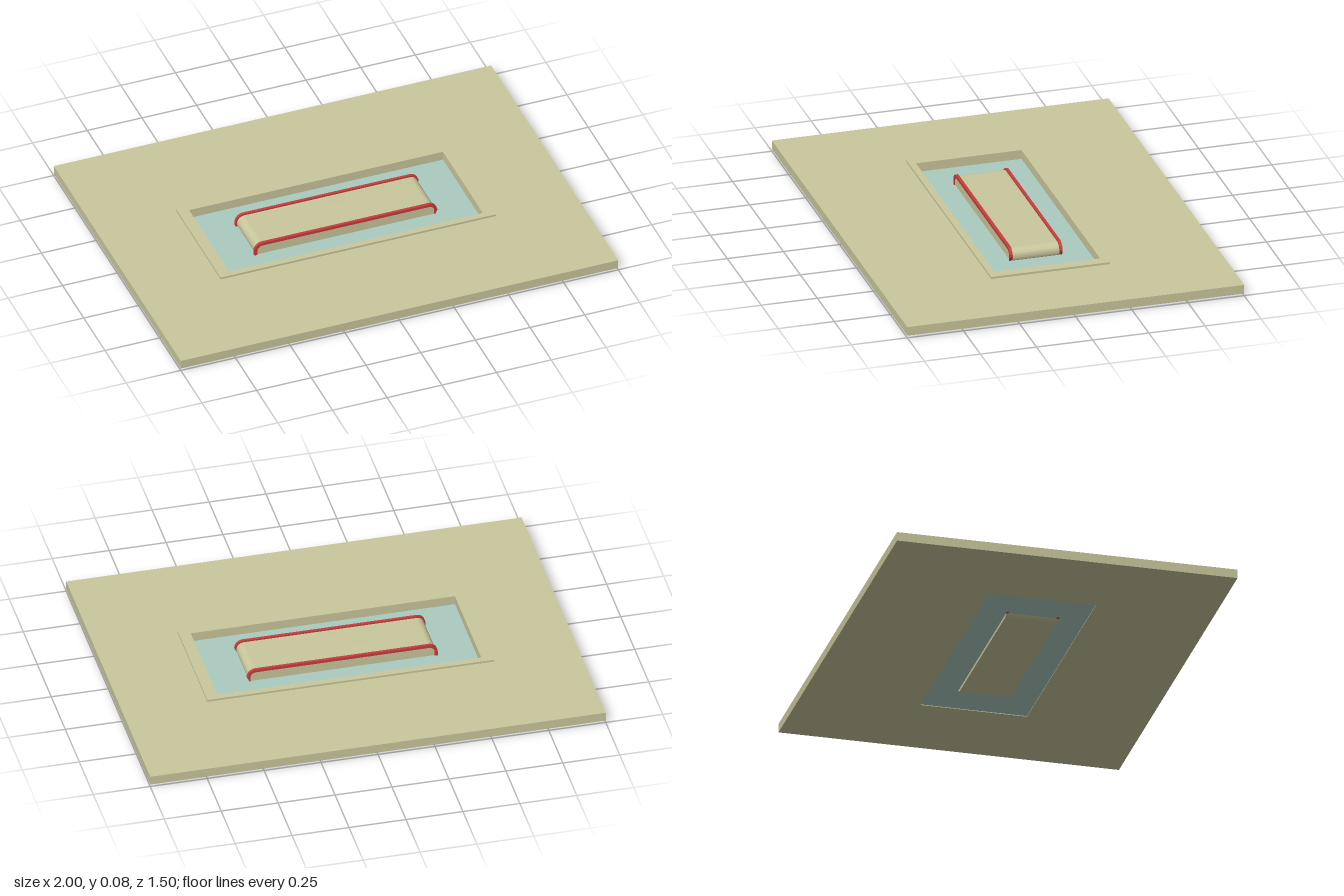
import * as THREE from 'three';
import { toCreasedNormals } from 'three/addons/utils/BufferGeometryUtils.js';

const SAND = new THREE.MeshStandardMaterial({ color: 0xc9c79c });
const AQUA = new THREE.MeshStandardMaterial({ color: 0xaacbbf });
const RED = new THREE.MeshStandardMaterial({ color: 0xc83c3c });

// Axis-aligned rectangle, as a shape or as a hole
function rect(w, d, Type = THREE.Shape) {
  const p = new Type();
  p.moveTo(-w, -d);
  p.lineTo(w, -d);
  p.lineTo(w, d);
  p.lineTo(-w, d);
  p.closePath();
  return p;
}

// Flat slab with a rectangular opening, lying between two heights
function slab(name, outer, inner, y0, y1, material) {
  const shape = rect(...outer);
  shape.holes.push(rect(...inner, THREE.Path));
  const geo = new THREE.ExtrudeGeometry(shape, { depth: y1 - y0, bevelEnabled: false });
  geo.rotateX(-Math.PI / 2).translate(0, y0, 0);
  const mesh = new THREE.Mesh(geo, material);
  mesh.name = name;
  return mesh;
}

// Side profile extruded along z, centred on the given z
function profile(name, shape, depth, z, material) {
  const geo = new THREE.ExtrudeGeometry(shape, { depth, bevelEnabled: false, curveSegments: 10 });
  geo.translate(0, 0, z - depth / 2);
  const mesh = new THREE.Mesh(toCreasedNormals(geo, 0.5), material);
  mesh.name = name;
  return mesh;
}

export function createModel() {
  const group = new THREE.Group();

  // Base plate, raised frame and recessed panel
  group.add(slab('basePlate', [1, 0.75], [0.58, 0.235], 0.01, 0.05, SAND));
  group.add(slab('raisedFrame', [0.63, 0.265], [0.58, 0.235], 0.05, 0.059, SAND));
  group.add(slab('recessedPanel', [0.58, 0.235], [0.4, 0.105], 0.013, 0.018, AQUA));

  // Central block with rounded ends
  const w = 0.412, top = 0.068, r = 0.033;
  const block = new THREE.Shape();
  block.moveTo(-w + r, 0);
  block.lineTo(w - r, 0);
  block.absarc(w - r, r, r, -Math.PI / 2, 0);
  block.absarc(w - r, top - r, r, 0, Math.PI / 2);
  block.absarc(-w + r, top - r, r, Math.PI / 2, Math.PI);
  block.absarc(-w + r, r, r, Math.PI, Math.PI * 1.5);
  group.add(profile('centralBlock', block, 0.226, 0, SAND));

  // Red edge trims that follow the block's top and bend down at both ends
  const W = 0.418, T = 0.075, R = 0.038, t = 0.013, foot = 0.012;
  const trim = new THREE.Shape();
  trim.moveTo(W, foot);
  trim.absarc(W - R, T - R, R, 0, Math.PI / 2);
  trim.absarc(-W + R, T - R, R, Math.PI / 2, Math.PI);
  trim.lineTo(-W, foot);
  trim.lineTo(-W + t, foot);
  trim.absarc(-W + R, T - R, R - t, Math.PI, Math.PI / 2, true);
  trim.absarc(W - R, T - R, R - t, Math.PI / 2, 0, true);
  trim.lineTo(W - t, foot);
  trim.closePath();
  group.add(profile('frontTrim', trim, t, 0.111, RED));
  group.add(profile('backTrim', trim, t, -0.111, RED));

  return group;
}
